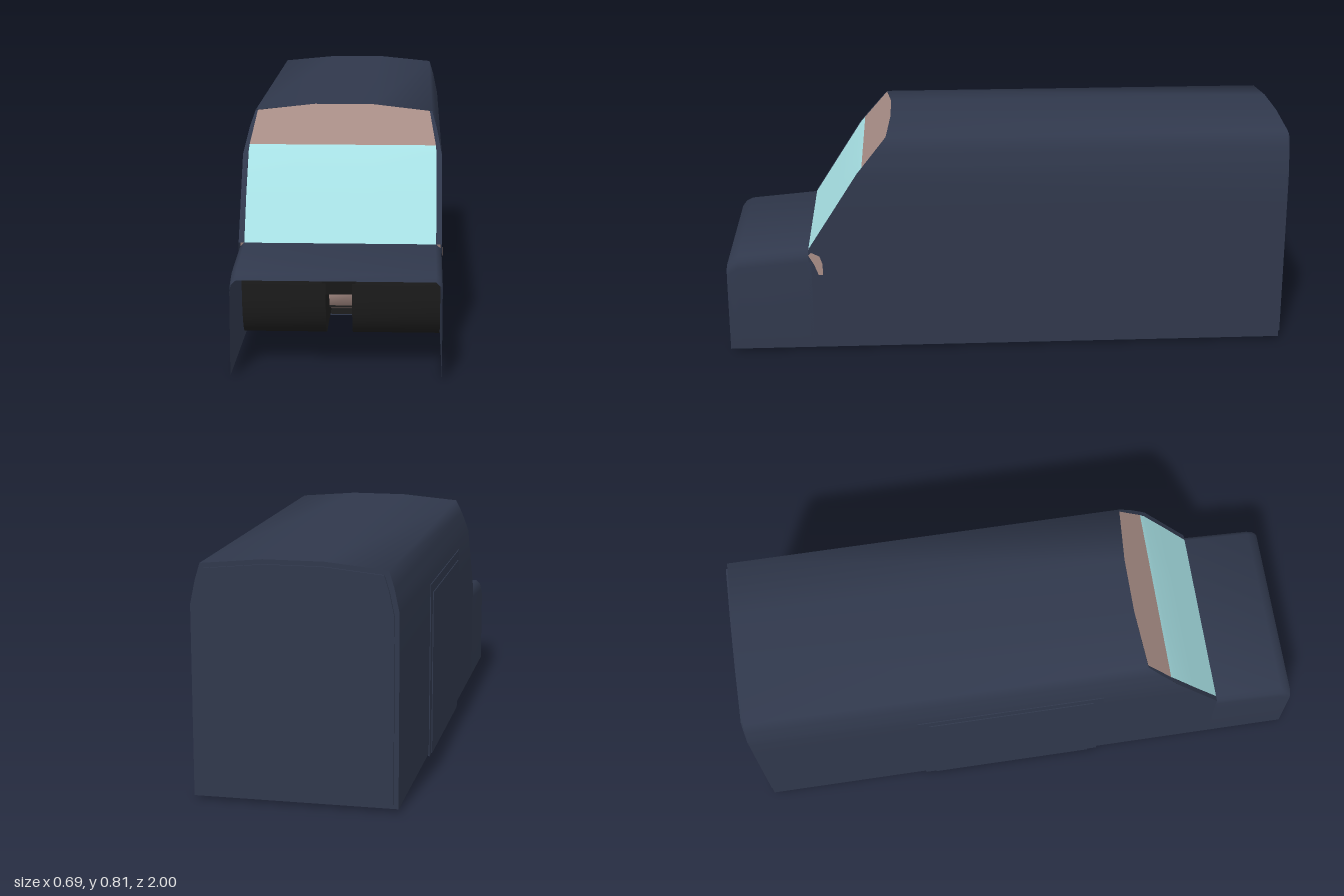
import * as THREE from 'three';
import { toCreasedNormals } from 'three/addons/utils/BufferGeometryUtils.js';

const material = (name, color) =>
  new THREE.MeshStandardMaterial({ name, color, side: THREE.DoubleSide });

// Surface through rows of [x, y, z] points, all rows the same length
function sheet(rows, crease = 1.2) {
  const n = rows[0].length, index = [];
  for (let i = 0; i < rows.length - 1; i++)
    for (let j = 0; j < n - 1; j++) {
      const a = i * n + j, b = a + 1, c = a + n, d = c + 1;
      index.push(a, b, d, a, d, c);
    }
  const g = new THREE.BufferGeometry();
  g.setAttribute('position', new THREE.Float32BufferAttribute(rows.flat(2), 3));
  g.setIndex(index);
  return toCreasedNormals(g, crease);
}

// Linear lookup in a list of [key, value] pairs
function lookup(table, k) {
  for (let i = 1; i < table.length; i++) {
    const [k0, v0] = table[i - 1], [k1, v1] = table[i];
    if (k <= k1) return v0 + (v1 - v0) * Math.max(0, (k - k0) / (k1 - k0));
  }
  return table[table.length - 1][1];
}

export function createModel() {
  const van = new THREE.Group();
  van.name = 'van';
  const navy = material('navy paint', 0x30384c);
  const pink = material('dusty pink trim', 0xa88d86);
  const black = material('black lining', 0x1d1d1d);
  const glass = material('pale cyan glass', 0xa8e2e6);

  const add = (name, geometry, mat) => {
    const m = new THREE.Mesh(geometry, mat);
    m.name = name;
    van.add(m);
    return m;
  };
  const box = (name, mat, x0, x1, y0, y1, z0, z1) =>
    add(name, new THREE.BoxGeometry(x1 - x0, y1 - y0, z1 - z0), mat)
      .position.set((x0 + x1) / 2, (y0 + y1) / 2, (z0 + z1) / 2);

  // Half width of the body, slope of the nose, and edge of the screen by height
  const W = 0.339;
  const halfWidth = [[0, W], [0.65, W], [0.73, 0.322], [0.785, 0.305]];
  const frontZ = [[0, 0.71], [0.38, 0.71], [0.66, 0.53], [0.805, 0.41]];
  const screenEdge = [[0.38, 0.32], [0.64, 0.322], [0.68, 0.318], [0.785, 0.297]];

  // Body shell: sides and crowned roof
  const half = [0.01, 0.38, 0.52, 0.65, 0.69, 0.73, 0.785].map(y => [lookup(halfWidth, y), y]);
  half.push([0.1, 0.805]);
  const outline = [...half, ...half.map(([x, y]) => [-x, y]).reverse()];
  add('bodyShell', sheet([
    outline.map(([x, y]) => [x, y, -0.992]),
    outline.map(([x, y]) => [x, y, lookup(frontZ, y)]),
  ]), navy);

  // Rear wall with a slightly raised rear door panel
  const rear = new THREE.Shape(outline.map(([x, y]) => new THREE.Vector2(x, y)));
  add('rearWall', new THREE.ShapeGeometry(rear), navy).position.z = -0.992;
  const panel = new THREE.Shape(outline.map(([x, y]) =>
    new THREE.Vector2(x * 0.955, 0.4 + (y - 0.4) * 0.962)));
  add('rearDoor', new THREE.ExtrudeGeometry(panel, { depth: 0.008, bevelEnabled: false }), navy)
    .position.z = -1;

  // Hood and fenders, open at the front and underneath
  const noseRow = ([z, y]) => {
    const side = [[W, 0.01], [W, y - 0.04], [0.334, y - 0.015], [0.318, y]];
    return [...side, ...side.map(([x, h]) => [-x, h]).reverse()].map(([x, h]) => [x, h, z]);
  };
  add('hoodAndFenders',
    sheet([[0.7, 0.38], [0.72, 0.379], [0.96, 0.358], [0.985, 0.345], [1, 0.325]].map(noseRow)), navy);

  // Windscreen, header above it and the pillars beside it
  const acrossScreen = y => [-1, -0.33, 0.33, 1].map(u =>
    [u * lookup(screenEdge, y), y, lookup(frontZ, y)]);
  add('windscreen', sheet([0.38, 0.52, 0.66, 0.68].map(acrossScreen)), glass);
  const headerTop = [[-0.297, 0.785], [-0.1, 0.805], [0.1, 0.805], [0.297, 0.785]]
    .map(([x, y]) => [x, y, lookup(frontZ, y)]);
  add('header', sheet([acrossScreen(0.68), acrossScreen(0.74), headerTop]), pink);
  for (const s of [-1, 1])
    add(s > 0 ? 'leftPillar' : 'rightPillar',
      sheet([0.38, 0.52, 0.65, 0.68, 0.73, 0.785].map(y => {
        const z = lookup(frontZ, y);
        return [[s * lookup(halfWidth, y), y, z], [s * lookup(screenEdge, y), y, z]];
      })), navy);

  // Side door on the right, a plate with a raised inner panel
  box('sideDoorFrame', navy, -0.342, -0.336, 0, 0.62, -0.4, 0.27);
  box('sideDoorPanel', navy, -0.345, -0.341, 0, 0.585, -0.36, 0.235);

  // Floor pan with a black lining on top
  box('floorPan', navy, -W, W, 0.01, 0.014, -0.99, 0.275);
  box('floorLining', black, -0.335, 0.335, 0.014, 0.032, -0.98, 0.275);

  // Firewall with a shallow channel in the middle
  const channel = [[-0.335, 0], [-0.08, 0], [-0.055, 0.02], [0, 0.03], [0.055, 0.02], [0.058, 0], [0.335, 0]];
  add('firewall', sheet([[0.23, 0.65], [0.3, 0.665], [0.375, 0.69]].map(([y, z]) =>
    channel.map(([x, d]) => [x, y, z - d]))), pink);
  add('cowlTrim', new THREE.ShapeGeometry(new THREE.Shape([
    [-0.66, 0.29], [-0.675, 0.29], [-0.69, 0.33], [-0.71, 0.365], [-0.7, 0.375], [-0.67, 0.36], [-0.66, 0.33],
  ].map(p => new THREE.Vector2(...p)))).rotateY(Math.PI / 2), pink).position.x = W + 0.002;

  // Footwells either side of the tunnel
  const well = new THREE.Shape();
  well.moveTo(0.27, 0.03);
  well.lineTo(0.55, 0.03);
  well.quadraticCurveTo(0.63, 0.035, 0.65, 0.18);
  well.lineTo(0.655, 0.235);
  well.lineTo(0.27, 0.235);
  for (const [name, x0, x1] of [['rightFootwell', -0.337, -0.052], ['leftFootwell', 0.038, 0.337]]) {
    const g = new THREE.ExtrudeGeometry(well, { depth: x1 - x0, bevelEnabled: false, curveSegments: 8 });
    g.rotateY(-Math.PI / 2).translate(x1, 0, 0);
    add(name, toCreasedNormals(g, 0.6), black);
  }

  // Tunnel between the footwells: black bridge over a pink back wall
  add('tunnelBridge', sheet([[0.185, 0.4], [0.185, 0.64], [0.25, 0.662], [0.25, 0.4]].map(([y, z]) =>
    [[y > 0.2 ? -0.07 : -0.052, y, z], [y > 0.2 ? 0.055 : 0.038, y, z]]), 0.5), black);
  add('tunnelWall', sheet([[0.045, 0.3], [0.08, 0.4], [0.13, 0.43], [0.19, 0.42]].map(([y, z]) =>
    [[-0.052, y, z], [0.038, y, z]])), pink);
  box('tunnelLip', black, -0.052, 0.038, 0.077, 0.081, 0.39, 0.41);

  return van;
}
